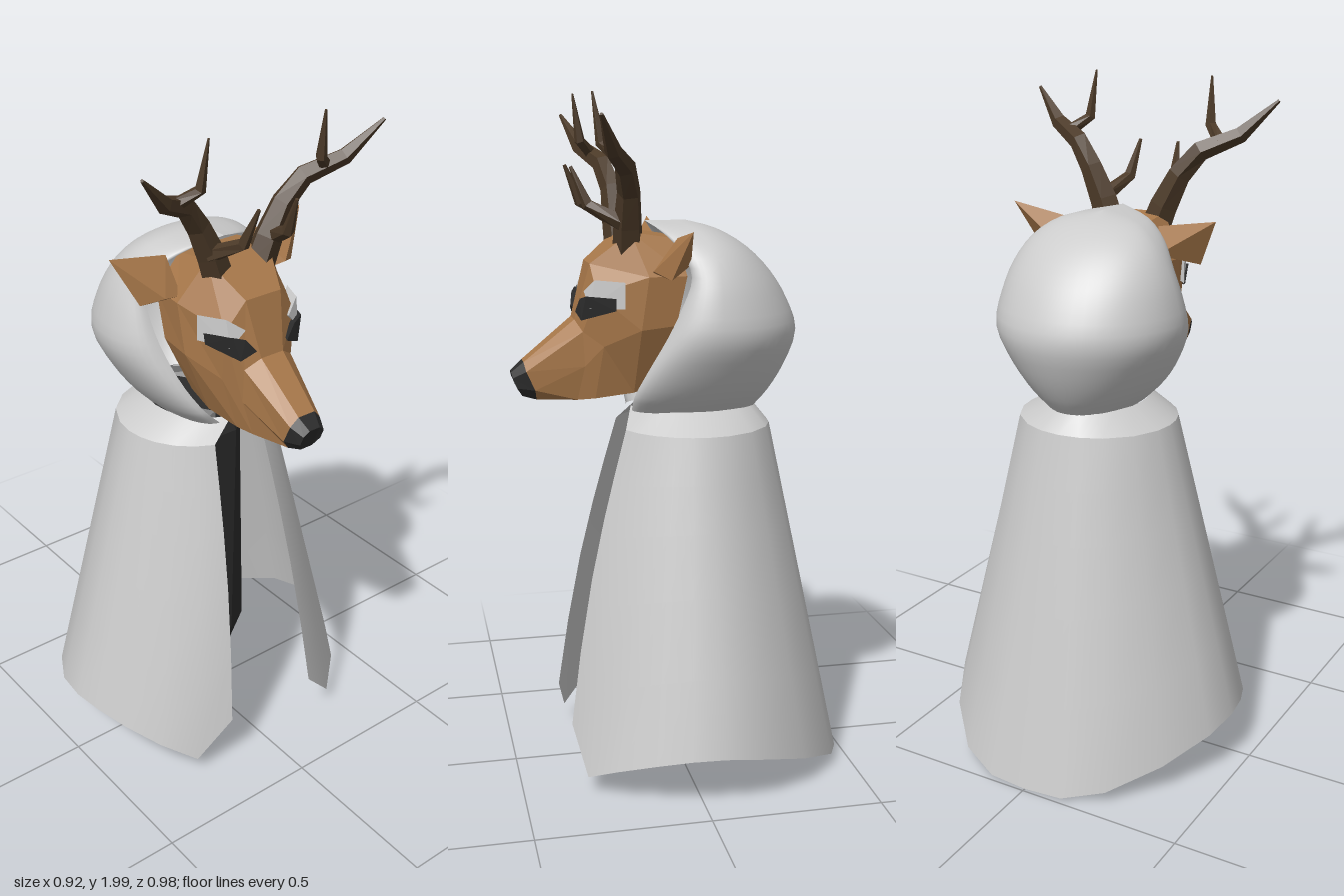
import * as THREE from 'three';
import { ConvexGeometry } from 'three/addons/geometries/ConvexGeometry.js';

const V = (x, y, z) => new THREE.Vector3(x, y, z);
const mat = (color, flatShading = true, side = THREE.FrontSide) =>
  new THREE.MeshStandardMaterial({ color, flatShading, side });

// Skin a surface over rings of points (rings run counter-clockwise about the direction of travel)
function loft(rings, closed = true, smooth = false) {
  const n = rings[0].length, m = closed ? n : n - 1, pos = [], idx = [];
  rings.forEach(r => r.forEach(p => pos.push(p.x, p.y, p.z)));
  for (let i = 0; i < rings.length - 1; i++) {
    for (let j = 0; j < m; j++) {
      const k = (j + 1) % n, a = i * n + j, b = i * n + k;
      idx.push(a, b, b + n, a, b + n, a + n);
    }
  }
  if (closed) {
    const e = (rings.length - 1) * n;
    for (let j = 1; j < n - 1; j++) idx.push(0, j + 1, j, e, e + j, e + j + 1);
  }
  let g = new THREE.BufferGeometry();
  g.setAttribute('position', new THREE.Float32BufferAttribute(pos, 3));
  g.setIndex(idx);
  if (!smooth) g = g.toNonIndexed();
  g.computeVertexNormals();
  return g;
}

// Tapered branch along a bent path
function branch(points, radii, sides = 5) {
  const rings = points.map((p, i) => {
    const t = points[Math.min(i + 1, points.length - 1)].clone()
      .sub(points[Math.max(i - 1, 0)]).normalize();
    const u = V(0, 0, 1).cross(t).normalize(), v = t.clone().cross(u);
    return Array.from({ length: sides }, (_, k) => {
      const a = k / sides * Math.PI * 2;
      return p.clone().addScaledVector(u, Math.cos(a) * radii[i]).addScaledVector(v, Math.sin(a) * radii[i]);
    });
  });
  return loft(rings);
}

const mirrorX = half => [...half, ...half.slice().reverse().map(p => V(-p.x, p.y, p.z))];

export function createModel() {
  const model = new THREE.Group();
  const add = (name, geometry, material, parent = model) => {
    const mesh = new THREE.Mesh(geometry, material);
    mesh.name = name;
    parent.add(mesh);
    return mesh;
  };
  const cloth = mat(0xcccccc, false, THREE.DoubleSide);
  const fur = mat(0xa8784a), horn = mat(0x4c3a28), dark = mat(0x2c2c2c), pale = mat(0xcccccc);

  // Cloak: hem from the front opening round to the middle of the back
  const hem = [[.155, .18, .345], [.265, .06, .315], [.35, .11, .24], [.41, .145, .14], [.445, .165, .045],
    [.46, .17, -.05], [.44, .15, -.165], [.36, .1, -.31], [.24, .045, -.435], [.12, .015, -.485]].map(p => V(...p));
  const zc = -.05;
  const fullRow = half => {
    const back = half.pop();
    return [...half, back, ...half.slice().reverse().map(p => V(-p.x, p.y, p.z))];
  };
  const angles = hem.map(p => Math.atan2(p.x, p.z - zc)).concat(Math.PI);
  const hemHalf = [...hem, V(0, .01, -.49)];
  const shoulder = angles.map(a => V(.235 * Math.sin(a), 1.05, zc + .23 * Math.cos(a)));
  const neck = angles.map((a, i) => V(i ? .14 * Math.sin(a) : .004, 1.105, zc + .185 * Math.cos(i ? a : 0)));
  const cloakRows = [0, .25, .5, .7, .85, 1].map(t => fullRow(hemHalf.map((p, i) => {
    const q = p.clone().lerp(shoulder[i], t);
    if (i < 2) q.z += .02 * Math.sin(Math.PI * t);
    return q;
  })));
  add('cloak', loft(cloakRows, false, true), cloth);
  add('collar', loft([fullRow(shoulder.slice()), fullRow(neck)], false, true), cloth);

  // Tapered dark body inside the cloak: y, half width, half depth, z centre
  const bodyRows = [[.05, .032, .066, -.035], [.28, .155, .12, -.03], [1.03, .12, .16, -.045], [1.1, .06, .13, -.045]];
  add('body', loft(bodyRows.map(([y, rx, rz, z]) => Array.from({ length: 10 }, (_, k) => {
    const a = k / 10 * Math.PI * 2;
    return V(rx * Math.cos(a), y, z - rz * Math.sin(a));
  }))), dark);

  // Hood: y, half width, z of widest point, back z, rim half width, rim z
  const hoodRows = [
    [1.1, .13, -.05, -.24, .05, .14], [1.15, .18, -.06, -.28, .1, .14], [1.23, .235, -.07, -.325, .15, .11],
    [1.33, .28, -.08, -.355, .185, .06], [1.42, .268, -.08, -.325, .2, .02], [1.5, .24, -.08, -.275, .2, -.005],
    [1.57, .195, -.07, -.205, .165, .02], [1.62, .125, -.04, -.12, .09, .06], [1.645, 0, 0, -.03, 0, .09]];
  const columns = Array.from({ length: 41 }, (_, k) => {
    const s = 1 - k / 20, m = Math.abs(s), sign = Math.sign(s);
    const path = hoodRows.map(([y, w, c, back, xr, zr]) => {
      const a = (m > .6 ? (m - .6) / .4 : m / .6) * Math.PI / 2;
      return m > .6
        ? V(sign * (xr + (w - xr) * Math.cos(a)), y, c + (zr - c) * Math.sin(a))
        : V(sign * w * Math.sin(a), y, c - (c - back) * Math.cos(a));
    });
    return new THREE.CatmullRomCurve3(path).getPoints(24);
  });
  add('hood', loft(columns[0].map((_, i) => columns.map(c => c[i])), false, true), cloth);

  // Head: each half section runs jaw, cheek, brow, top
  const head = new THREE.Group();
  head.name = 'head';
  model.add(head);
  const section = rows => mirrorX(rows.map(p => V(...p)));
  const muzzleEnd = [[.03, 1.14, .415], [.052, 1.17, .42], [.052, 1.225, .445], [.028, 1.25, .45]];
  add('face', loft([
    [[.09, 1.19, .06], [.16, 1.36, .03], [.165, 1.5, 0], [.1, 1.6, .02]],
    [[.09, 1.16, .14], [.165, 1.35, .13], [.175, 1.5, .11], [.105, 1.62, .15]],
    [[.075, 1.145, .25], [.115, 1.3, .23], [.122, 1.45, .25], [.06, 1.53, .26]],
    [[.06, 1.14, .3], [.082, 1.24, .28], [.082, 1.34, .285], [.038, 1.37, .303]],
    muzzleEnd].map(section)), fur);
  add('nose', loft([muzzleEnd,
    [[.02, 1.15, .455], [.036, 1.175, .47], [.036, 1.205, .482], [.018, 1.22, .485]]].map(section)), dark);

  for (const s of [1, -1]) {
    const side = s > 0 ? 'left' : 'right';
    const pts = rows => rows.map(([x, y, z]) => V(s * x, y, z));

    // Pale lids with dark eyes set below them
    add(side + 'Eyelid', new ConvexGeometry(pts([[.075, 1.455, .28], [.122, 1.49, .255], [.158, 1.485, .175],
      [.158, 1.41, .175], [.118, 1.41, .27], [.1, 1.43, .2]])), pale, head);
    add(side + 'Eye', new ConvexGeometry(pts([[.052, 1.395, .302], [.1, 1.375, .292], [.15, 1.405, .2],
      [.155, 1.44, .2], [.12, 1.445, .28], [.085, 1.435, .293], [.09, 1.41, .22]])), dark, head);

    // Ears
    add(side + 'Ear', new ConvexGeometry(pts([[.33, 1.635, .02], [.265, 1.5, .065], [.21, 1.52, .105],
      [.15, 1.51, .095], [.15, 1.605, .025], [.165, 1.53, -.01]])), fur, head);

    // Antlers: one beam and two prongs
    const antler = new THREE.Group();
    antler.name = side + 'Antler';
    head.add(antler);
    add('beam', branch(pts([[.07, 1.56, .15], [.1, 1.64, .155], [.145, 1.73, .16], [.2, 1.8, .18],
      [.3, 1.845, .23], [.395, 1.94, .275]]), [.046, .042, .034, .03, .024, .005]), horn, antler);
    add('upperProng', branch(pts([[.255, 1.82, .2], [.2, 1.865, .245], [.19, 2, .266]]), [.02, .016, .003]), horn, antler);
    add('lowerProng', branch(pts([[.11, 1.645, .17], [.075, 1.695, .265], [.063, 1.8, .31]]), [.024, .018, .005]), horn, antler);
  }
  return model;
}
